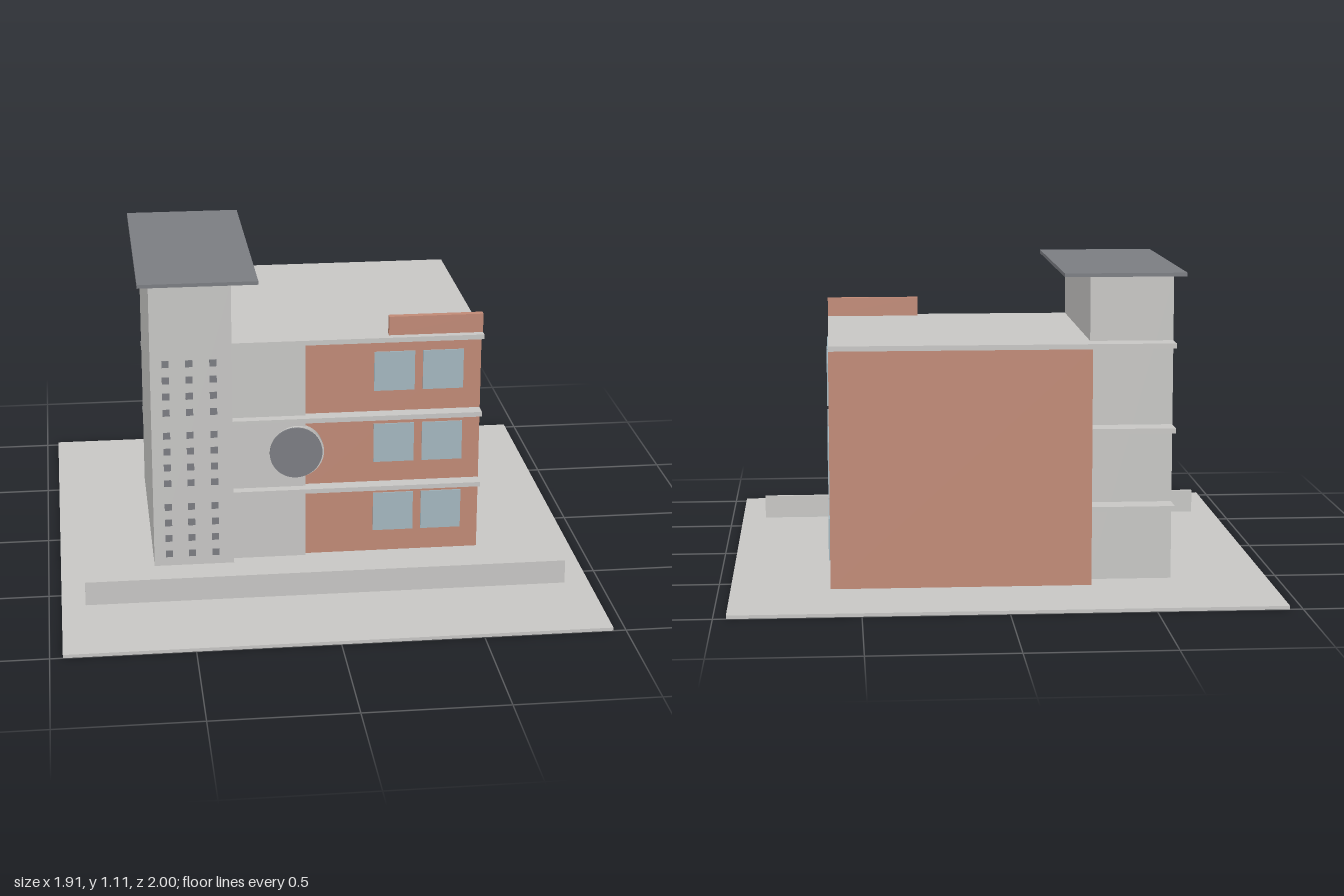
import * as THREE from 'three';

const material = (name, color) => {
  const m = new THREE.MeshStandardMaterial({ color });
  m.name = name;
  return m;
};

export function createModel() {
  const model = new THREE.Group();
  model.name = 'building';
  const concrete = material('concrete', 0xc9c8c6);
  const brick = material('brick', 0xc28b77);
  const glass = material('glass', 0xa5b8c0);
  const slate = material('slate', 0x7c7e83);

  // Box given by its extents along each axis
  const box = (name, mat, [x0, x1], [y0, y1], [z0, z1], parent = model) => {
    const mesh = new THREE.Mesh(new THREE.BoxGeometry(x1 - x0, y1 - y0, z1 - z0), mat);
    mesh.position.set((x0 + x1) / 2, (y0 + y1) / 2, (z0 + z1) / 2);
    mesh.name = name;
    parent.add(mesh);
    return mesh;
  };
  const group = (name) => {
    const g = new THREE.Group();
    g.name = name;
    model.add(g);
    return g;
  };

  // Site
  box('groundPlate', concrete, [-0.955, 0.955], [0, 0.012], [-1, 1]);
  box('gardenWall', concrete, [-0.87, 0.865], [0.012, 0.1], [0.6, 0.615]);

  // Main block and stair tower
  box('brickBlock', brick, [-0.315, 0.605], [0.012, 0.852], [-0.65, 0.25]);
  box('tower', concrete, [-0.61, -0.315], [0.012, 1.1], [-0.56, 0.305]);
  box('towerRoof', slate, [-0.65, -0.22], [1.1, 1.113], [-0.607, 0.345]);
  box('parapet', brick, [0.26, 0.605], [0.87, 0.94], [0.25, 0.275]);

  // Floor slabs, projecting at the front and behind the tower
  const slabs = group('floorSlabs');
  for (const [y0, y1] of [[0.275, 0.292], [0.552, 0.57]]) {
    box('floorSlab', concrete, [-0.609, 0.604], [y0, y1], [-0.649, 0.304], slabs);
  }
  box('roofSlab', concrete, [-0.609, 0.605], [0.852, 0.87], [-0.65, 0.304], slabs);

  // Each storey: front panel, windows and small tower openings
  const panels = group('frontPanels');
  const windows = group('windows');
  const openings = group('towerOpenings');
  const storeys = [
    { base: 0.012, top: 0.275, sill: 0.095, holes: 0.245 },
    { base: 0.292, top: 0.552, sill: 0.37, holes: 0.525 },
    { base: 0.57, top: 0.852, sill: 0.65, holes: 0.8 },
  ];
  for (const { base, top, sill, holes } of storeys) {
    box('frontPanel', concrete, [-0.315, -0.045], [base, top], [0.249, 0.267], panels);
    const height = [sill, sill + 0.15];
    for (const x of [0.21, 0.39]) {
      box('frontWindow', glass, [x, x + 0.15], height, [0.249, 0.255], windows);
    }
    for (const z of [-0.565, -0.18]) {
      box('sideWindow', glass, [0.604, 0.61], height, [z, z + (z < -0.5 ? 0.355 : 0.36)], windows);
    }
    for (let row = 0; row < 4; row++) {
      const y = holes - row * 0.062;
      for (const x of [-0.555, -0.47, -0.383]) {
        box('towerOpening', slate, [x - 0.013, x + 0.013], [y - 0.013, y + 0.013], [0.3, 0.307], openings);
      }
    }
  }

  // Round window: pale ring with a dark disc in front
  const disc = (name, mat, x, radius, z0, z1) => {
    const mesh = new THREE.Mesh(new THREE.CylinderGeometry(radius, radius, z1 - z0, 48), mat);
    mesh.rotation.x = Math.PI / 2;
    mesh.position.set(x, 0.432, (z0 + z1) / 2);
    mesh.name = name;
    model.add(mesh);
  };
  disc('roundWindowFrame', concrete, -0.075, 0.098, 0.249, 0.281);
  disc('roundWindow', slate, -0.081, 0.097, 0.279, 0.288);

  return model;
}
